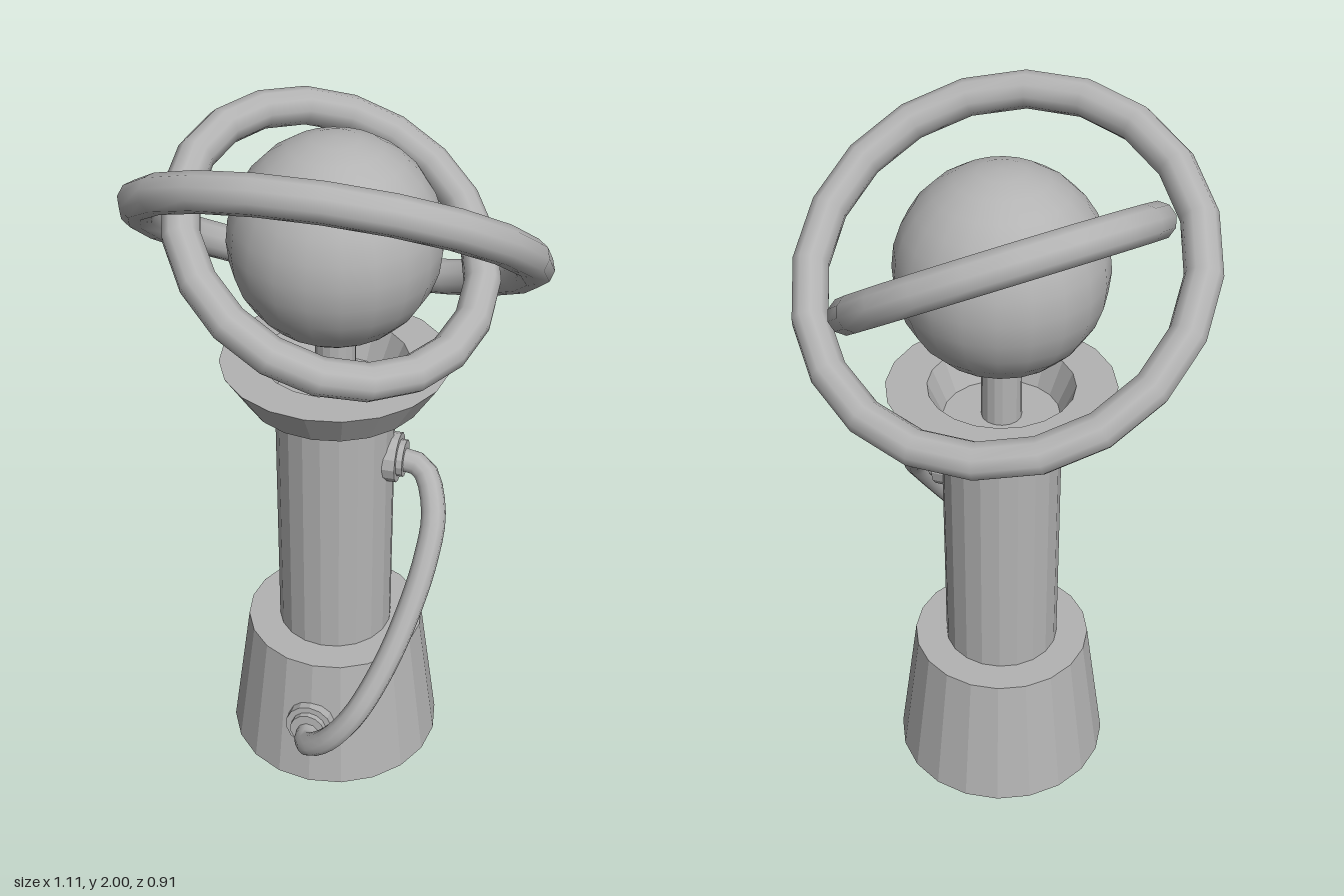
import * as THREE from 'three';
import { toCreasedNormals } from 'three/addons/utils/BufferGeometryUtils.js';

const grey = new THREE.MeshStandardMaterial({ color: 0xb3b3b3 });
grey.name = 'grey';

const V = (x, y, z) => new THREE.Vector3(x, y, z);

function add(parent, name, geometry) {
  const mesh = new THREE.Mesh(geometry, grey);
  mesh.name = name;
  parent.add(mesh);
  return mesh;
}

// Faceted solid of revolution from [radius, height] pairs, listed bottom to top
function turned(points, sides = 20) {
  const profile = points.map(([r, y]) => new THREE.Vector2(r, y));
  return toCreasedNormals(new THREE.LatheGeometry(profile, sides), 0.2);
}

// Orbit ring around the globe, given the normal of its plane
function addRing(parent, name, radius, tube, normal) {
  const geometry = new THREE.TorusGeometry(radius, tube, 10, 20);
  geometry.rotateZ(Math.PI / 20);
  const ring = add(parent, name, geometry);
  ring.position.y = 1.65;
  ring.quaternion.setFromUnitVectors(V(0, 0, 1), normal.normalize());
}

// Stepped round socket pointing along a direction
function addSocket(parent, name, position, direction) {
  const socket = add(parent, name, turned([
    [0, -0.02], [0.07, -0.02], [0.07, 0.015], [0.052, 0.015], [0.052, 0.032], [0, 0.032],
  ], 14));
  socket.position.copy(position);
  socket.quaternion.setFromUnitVectors(V(0, 1, 0), direction.normalize());
}

export function createModel() {
  const model = new THREE.Group();
  model.name = 'globeOnPedestal';

  // Pedestal
  add(model, 'base', turned([[0, 0], [0.312, 0], [0.257, 0.41], [0, 0.41]]));
  add(model, 'column', turned([[0, 0.4], [0.165, 0.4], [0.165, 1.2], [0, 1.2]]));
  // Hollow flared collar
  add(model, 'collar', turned([
    [0.155, 1.19], [0.245, 1.19], [0.312, 1.295], [0.2, 1.295], [0.155, 1.19],
  ]));
  add(model, 'post', turned([[0, 1.19], [0.055, 1.19], [0.055, 1.42], [0, 1.42]], 16));

  // Globe with two tilted rings
  const globe = add(model, 'globe', new THREE.SphereGeometry(0.28, 20, 14));
  globe.position.y = 1.65;
  addRing(model, 'outerRing', 0.513, 0.05, V(0, 0.803, -0.597));
  addRing(model, 'innerRing', 0.41, 0.05, V(0.44, 0.824, 0.356));

  // Hose from the left of the column to the front of the base
  const path = new THREE.CatmullRomCurve3([
    V(0.16, 1, 0), V(0.25, 0.985, 0.01), V(0.3, 0.9, 0.085), V(0.3, 0.8, 0.165),
    V(0.27, 0.66, 0.265), V(0.225, 0.53, 0.35), V(0.16, 0.4, 0.415),
    V(0.085, 0.295, 0.42), V(0.01, 0.215, 0.37), V(0, 0.2, 0.28),
  ]);
  add(model, 'hose', new THREE.TubeGeometry(path, 32, 0.034, 10));
  addSocket(model, 'upperSocket', V(0.168, 1, 0), V(1, 0, 0));
  addSocket(model, 'lowerSocket', V(0, 0.21, 0.288), V(0, 0.08, 1));

  return model;
}
